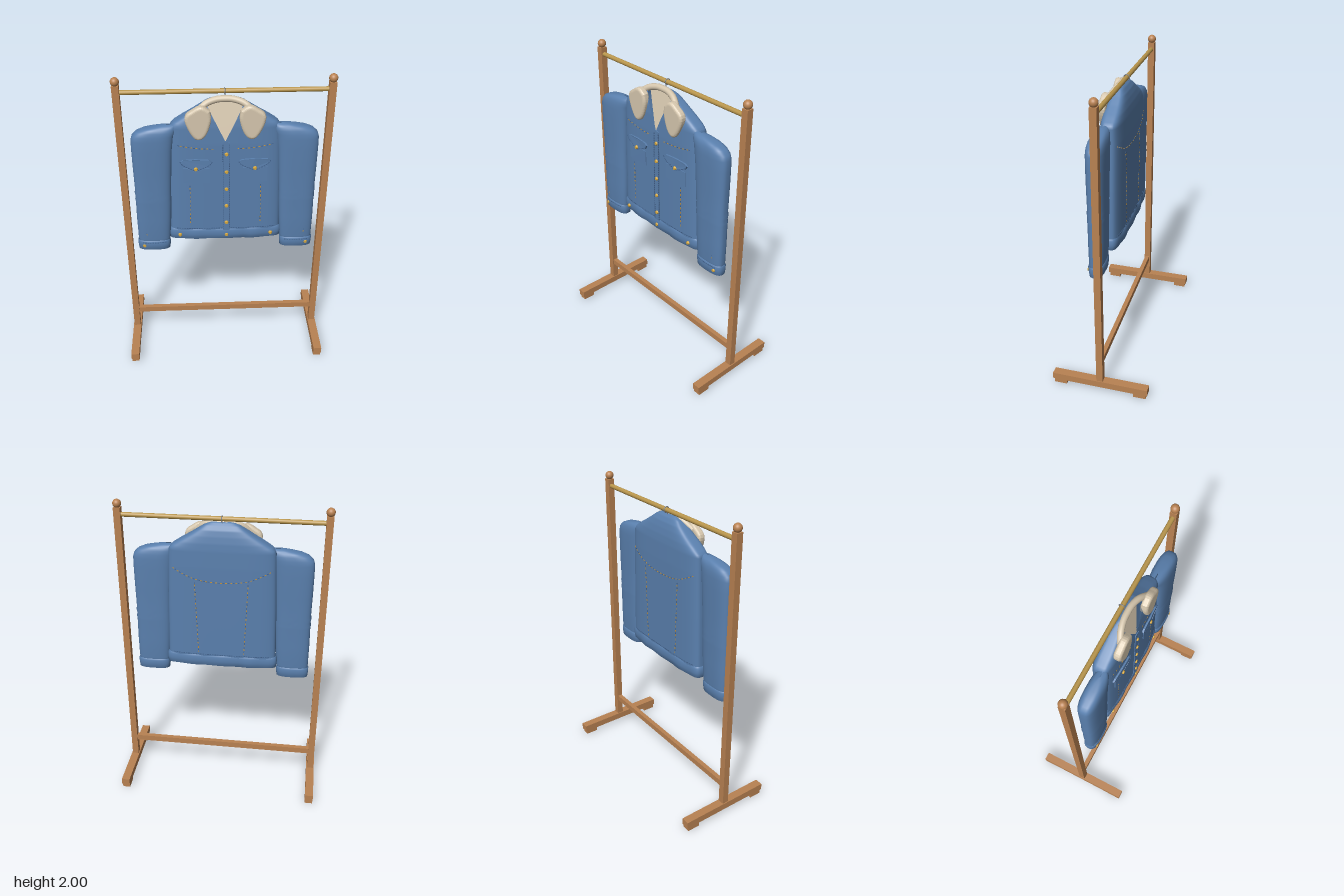
import * as THREE from 'three';
import { mergeGeometries } from 'three/addons/utils/BufferGeometryUtils.js';
import { ParametricGeometry } from 'three/addons/geometries/ParametricGeometry.js';

const mat = (name, color, side = THREE.FrontSide) => {
  const m = new THREE.MeshStandardMaterial({ color, side });
  m.name = name;
  return m;
};

export function createModel() {
  const root = new THREE.Group();
  root.name = 'jacketOnRack';
  const wood = mat('wood', 0xb98252);
  const brass = mat('brassRail', 0xb8954c);
  const denim = mat('denim', 0x5a80ae, THREE.DoubleSide);
  const seam = mat('seamBlue', 0x44648f);
  const thread = mat('goldThread', 0xc4923c);
  const gold = mat('goldButton', 0xd6a840);
  const cream = mat('creamFleece', 0xd6c7ae, THREE.DoubleSide);
  const steel = mat('steel', 0x80858c);

  const add = (name, geo, material, x = 0, y = 0, z = 0) => {
    const m = new THREE.Mesh(geo, material);
    m.name = name;
    m.position.set(x, y, z);
    root.add(m);
    return m;
  };
  const box = (w, h, d) => new THREE.BoxGeometry(w, h, d);

  // Rack
  for (const s of [1, -1]) {
    const x = s * 0.643;
    add('post', box(0.043, 1.88, 0.043), wood, x, 1.01, 0);
    add('finial', new THREE.SphereGeometry(0.027, 24, 16), wood, x, 1.973, 0);
    add('foot', box(0.055, 0.046, 0.64), wood, x, 0.051, 0);
    for (const t of [1, -1]) add('footPad', box(0.05, 0.03, 0.085), wood, x, 0.015, t * 0.268);
  }
  add('lowerRail', box(1.25, 0.04, 0.03), wood, 0, 0.217, 0);
  add('topRail', new THREE.CylinderGeometry(0.0145, 0.0145, 1.25, 24), brass, 0, 1.905, 0).rotation.z = Math.PI / 2;
  const hook = add('hangerHook', new THREE.TorusGeometry(0.018, 0.003, 8, 24), steel, 0, 1.905, 0);
  hook.rotation.y = Math.PI / 2;
  add('hangerStem', new THREE.CylinderGeometry(0.003, 0.003, 0.05, 8), steel, 0, 1.865, 0.01);

  // Jacket outline: [height, half width, half depth]
  const outline = [[0.93, 0.358, 0.066], [1.3, 0.35, 0.067], [1.6, 0.34, 0.068], [1.7, 0.337, 0.066], [1.725, 0.318, 0.064],
    [1.76, 0.265, 0.061], [1.8, 0.198, 0.054], [1.835, 0.145, 0.045], [1.86, 0.11, 0.032], [1.875, 0.075, 0.016], [1.88, 0.045, 0.004]];
  const sample = (y, k) => {
    let i = 0;
    while (i < outline.length - 2 && y > outline[i + 1][0]) i++;
    const [a, b] = [outline[i], outline[i + 1]];
    return THREE.MathUtils.lerp(a[k], b[k], THREE.MathUtils.clamp((y - a[0]) / (b[0] - a[0]), 0, 1));
  };
  const MID = 0.025;
  const surfaceZ = (x, y, s) => {
    const r = Math.min(1, Math.abs(x) / sample(y, 1));
    return MID + s * sample(y, 2) * Math.pow(1 - Math.pow(r, 4), 0.25);
  };
  const neck = (y) => Math.max(0, (y - 1.615) * 0.47);
  const rowY = (v) => 0.93 + 0.95 * (1 - Math.pow(1 - v, 1.5));

  // Back and the two open front panels
  add('backPanel', new ParametricGeometry((u, v, p) => {
    const y = rowY(v), x = -sample(y, 1) * Math.sin((u - 0.5) * Math.PI);
    p.set(x, y, surfaceZ(x, y, -1));
  }, 48, 48), denim);
  for (const s of [1, -1]) {
    add('frontPanel', new ParametricGeometry((u, v, p) => {
      const y = rowY(v), w = sample(y, 1), inner = Math.min(neck(y), w);
      const x = s * (inner + (w - inner) * Math.sin((s > 0 ? u : 1 - u) * Math.PI / 2));
      p.set(x, y, surfaceZ(x, y, 1));
    }, 28, 48), denim);
  }

  // Fleece lining seen in the neck opening
  add('neckLining', new ParametricGeometry((u, v, p) => {
    const y = 1.595 + 0.27 * v;
    const w = Math.min(neck(y) + 0.025, sample(y, 1) * 0.92);
    p.set((u * 2 - 1) * w, y, 0.084 - 0.066 * v);
  }, 12, 16), cream);

  // Closed loft through rounded rings: [y, x centre, z centre, x radius, z radius]
  const loft = (rings, n, ripple = 0) => {
    const N = 64, pos = [], idx = [];
    for (const [y, cx, cz, rx, rz] of rings) {
      for (let i = 0; i < N; i++) {
        const a = i / N * Math.PI * 2, c = Math.cos(a), d = Math.sin(a);
        const x = cx + rx * Math.sign(c) * Math.pow(Math.abs(c), 2 / n);
        pos.push(x, y, cz + rz * Math.sign(d) * Math.pow(Math.abs(d), 2 / n) * (1 + ripple * Math.cos(x * 34)));
      }
    }
    for (let r = 0; r < rings.length - 1; r++) {
      for (let i = 0; i < N; i++) {
        const a = r * N + i, b = r * N + (i + 1) % N;
        idx.push(a, a + N, b, b, a + N, b + N);
      }
    }
    const g = new THREE.BufferGeometry();
    g.setAttribute('position', new THREE.Float32BufferAttribute(pos, 3));
    g.setIndex(idx);
    g.computeVertexNormals();
    return g;
  };

  // Hem band
  add('hemBand', loft([[0.893, 0, MID, 0.001, 0.001], [0.888, 0, MID, 0.35, 0.052], [0.895, 0, MID, 0.364, 0.066],
    [0.93, 0, MID, 0.368, 0.071], [0.96, 0, MID, 0.366, 0.07], [0.972, 0, MID, 0.357, 0.064]], 4, 0.05), denim);

  // Sleeves and cuffs, from [y, inner x, outer x, half depth]
  const sleeve = [[0.87, 0.372, 0.57, 0.04], [0.9, 0.362, 0.574, 0.047], [1.05, 0.352, 0.575, 0.05], [1.18, 0.345, 0.573, 0.051],
    [1.2, 0.345, 0.576, 0.054], [1.22, 0.344, 0.572, 0.051], [1.25, 0.343, 0.576, 0.054], [1.27, 0.342, 0.572, 0.051],
    [1.4, 0.335, 0.574, 0.054], [1.55, 0.325, 0.575, 0.056], [1.62, 0.315, 0.574, 0.056], [1.65, 0.31, 0.565, 0.054],
    [1.675, 0.3, 0.54, 0.05], [1.692, 0.3, 0.5, 0.043], [1.703, 0.3, 0.45, 0.034], [1.712, 0.3, 0.4, 0.022], [1.716, 0.3, 0.36, 0.003]];
  const cuff = [[0.82, 0.47, 0.472, 0.001], [0.81, 0.38, 0.565, 0.035], [0.816, 0.367, 0.576, 0.045],
    [0.85, 0.364, 0.579, 0.05], [0.877, 0.364, 0.579, 0.05], [0.886, 0.37, 0.574, 0.044]];
  const sleeveZ = 0.048;
  const toRings = (rows, s) => rows.map(([y, a, b, d]) => [y, s * (a + b) / 2, sleeveZ, (b - a) / 2, d]);
  for (const s of [1, -1]) {
    add('sleeve', loft(toRings(sleeve, s), 2.8), denim);
    add('cuff', loft(toRings(cuff, s), 2.8), denim);
  }

  // Collar: rolled neck band and two rounded wings
  const bandPath = new THREE.CatmullRomCurve3([[-0.165, 1.81, 0.075], [-0.11, 1.85, 0.05], [-0.05, 1.867, 0.036], [0, 1.87, 0.034],
    [0.05, 1.867, 0.036], [0.11, 1.85, 0.05], [0.165, 1.81, 0.075]].map((p) => new THREE.Vector3(...p)));
  add('collarBand', new THREE.TubeGeometry(bandPath, 40, 0.02, 14), cream);
  for (const s of [1, -1]) {
    const wing = new THREE.Shape(new THREE.SplineCurve([[0.11, 1.81], [0.105, 1.76], [0.13, 1.68], [0.165, 1.653],
      [0.2, 1.7], [0.222, 1.775], [0.185, 1.81], [0.145, 1.83], [0.11, 1.81]].map(([x, y]) => new THREE.Vector2(s * x, y))).getPoints(40));
    add('collarWing', new THREE.ExtrudeGeometry(wing, { depth: 0.018, bevelThickness: 0.016, bevelSize: 0.02, bevelSegments: 5 }), cream, 0, 0, 0.08);
  }

  // Seams: short dashes following the cloth, alternating blue and gold
  const stitch = (name, pts, zAt, materials = [thread, seam]) => {
    const curve = new THREE.SplineCurve(pts.map((p) => new THREE.Vector2(...p)));
    const count = Math.round(curve.getLength() / 0.016);
    const sets = materials.map(() => []);
    for (let i = 0; i < count; i++) {
      const t = (i + 0.5) / count, p = curve.getPointAt(t), d = curve.getTangentAt(t);
      sets[i % sets.length].push(box(0.011, 0.005, 0.004).rotateZ(Math.atan2(d.y, d.x)).translate(p.x, p.y, zAt(p.x, p.y)));
    }
    sets.forEach((g, i) => add(name, mergeGeometries(g), materials[i]));
  };
  const front = (x, y) => surfaceZ(x, y, 1);
  const back = (x, y) => surfaceZ(x, y, -1);

  // Thin cloth patch bent to the front of the jacket
  const patch = (name, pts, depth) => {
    const g = new THREE.ExtrudeGeometry(new THREE.Shape(pts.map((p) => new THREE.Vector2(...p))), { depth, bevelEnabled: false });
    const p = g.attributes.position;
    for (let i = 0; i < p.count; i++) p.setZ(i, p.getZ(i) + front(p.getX(i), p.getY(i)) - 0.001);
    g.computeVertexNormals();
    add(name, g, denim);
  };

  const button = (x, y, z) => {
    add('button', new THREE.CylinderGeometry(0.009, 0.013, 0.01, 16), gold, x, y, z + 0.004).rotation.x = Math.PI / 2;
  };

  // Button placket
  patch('placket', [[-0.016, 0.96], [0.028, 0.96], [0.028, 1.61], [-0.008, 1.62], [-0.016, 1.61]], 0.006);
  for (const x of [-0.014, 0.026]) stitch('placketSeam', [[x, 0.97], [x, 1.6]], () => 0.098, [seam]);
  for (const y of [1.53, 1.405, 1.28, 1.155, 1.025, 0.93]) button(0.007, y, 0.097);

  for (const s of [1, -1]) {
    // Chest pocket with pointed flap
    patch('pocket', [[0.1, 1.328], [0.262, 1.328], [0.262, 1.43], [0.1, 1.43]].map(([x, y]) => [s * x, y]), 0.006);
    const flap = [[0.08, 1.475], [0.1, 1.45], [0.15, 1.425], [0.183, 1.412], [0.216, 1.425], [0.262, 1.45], [0.282, 1.475],
      [0.262, 1.492], [0.183, 1.498], [0.1, 1.492]];
    patch('pocketFlap', flap.map(([x, y]) => [s * x, y]), 0.012);
    stitch('flapSeam', flap.slice(0, 7).map(([x, y]) => [s * x, y + 0.008]), (x, y) => front(x, y) + 0.011, [seam]);
    button(s * 0.183, 1.432, 0.102);
    // Front seams
    stitch('frontYokeSeam', [[s * 0.07, 1.565], [s * 0.18, 1.572], [s * 0.295, 1.59]], front);
    stitch('frontDartSeam', [[s * 0.228, 1.02], [s * 0.222, 1.31]], front);
    stitch('sleeveSeam', [[s * 0.515, 0.93], [s * 0.515, 1.09]], () => sleeveZ + 0.044);
    stitch('cuffSeam', [[s * 0.39, 0.874], [s * 0.55, 0.874]], (x) => sleeveZ + 0.05 * Math.pow(1 - Math.pow(Math.abs(Math.abs(x) - 0.4715) / 0.1075, 2.8), 1 / 2.8), [seam]);
    button(s * 0.535, 0.85, 0.09);
    button(s * 0.298, 0.93, 0.088);
    // Back dart
    stitch('backDartSeam', [[s * 0.15, 0.99], [s * 0.17, 1.5]], back);
  }
  stitch('backYokeSeam', [[-0.31, 1.585], [-0.17, 1.52], [0, 1.5], [0.17, 1.52], [0.31, 1.585]], back);
  stitch('hemSeam', [[-0.32, 0.978], [0.32, 0.978]], front, [seam]);
  stitch('hemSeam', [[-0.32, 0.978], [0.32, 0.978]], back, [seam]);

  return root;
}
